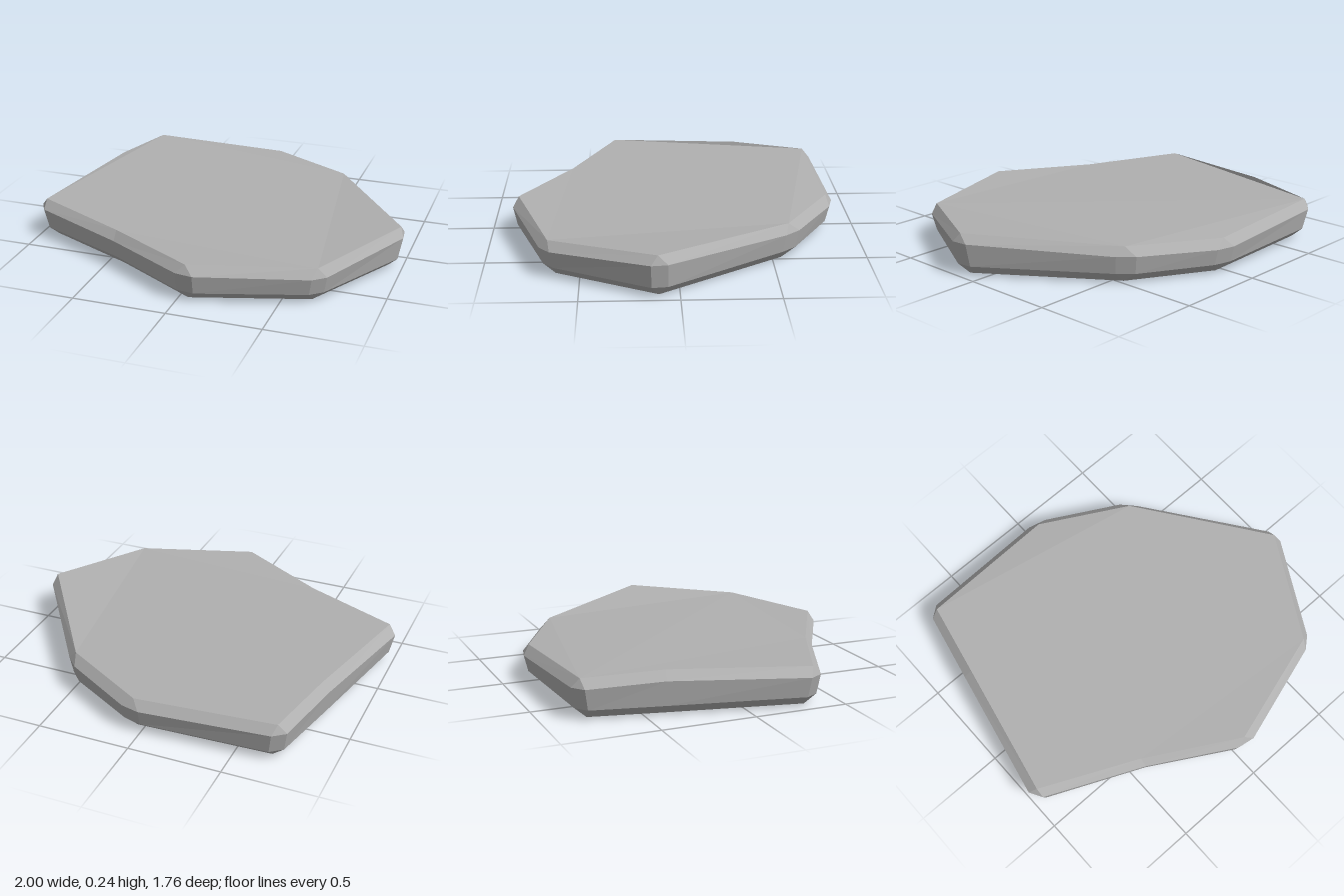
import * as THREE from 'three';

// Each corner: top point (x, y, z), then one or two points (x, z) of the wider rim
const CORNERS = [
  { top: [-0.72, 0.215, -0.81], rim: [[-0.765, -0.80], [-0.70, -0.85]] },
  { top: [0.04, 0.19, -0.84], rim: [[0.0, -0.88], [0.10, -0.855]] },
  { top: [0.50, 0.20, -0.58], rim: [[0.48, -0.64], [0.55, -0.565]] },
  { top: [0.98, 0.228, 0.11], rim: [[0.99, 0.06], [1.0, 0.145]] },
  { top: [0.68, 0.195, 0.66], rim: [[0.725, 0.65], [0.66, 0.705]] },
  { top: [0.05, 0.205, 0.85], rim: [[0.095, 0.88], [0.0, 0.865]] },
  { top: [-0.44, 0.20, 0.57], rim: [[-0.44, 0.61]] },
  { top: [-0.96, 0.21, 0.33], rim: [[-0.96, 0.375], [-1.0, 0.305]] },
  { top: [-0.81, 0.236, -0.40], rim: [[-0.85, -0.41]] },
];
const RIM_DROP = 0.048, FOOT_Y = 0.055, FOOT_SCALE = 0.975, BASE_SCALE = 0.945;

function createSlabGeometry() {
  const positions = [];
  const tri = (a, b, c) => {
    const area = new THREE.Triangle(a, b, c).getArea();
    if (area > 1e-7) for (const p of [a, b, c]) positions.push(p.x, p.y, p.z);
  };

  // Four rings with matching counts; top and base repeat their point at chamfered corners
  const rings = [[], [], [], []];
  for (const { top: [x, y, z], rim } of CORNERS) {
    for (const [rx, rz] of rim) {
      rings[0].push(new THREE.Vector3(x, y, z));
      rings[1].push(new THREE.Vector3(rx, y - RIM_DROP, rz));
      rings[2].push(new THREE.Vector3(rx * FOOT_SCALE, FOOT_Y, rz * FOOT_SCALE));
      rings[3].push(new THREE.Vector3(x * BASE_SCALE, 0, z * BASE_SCALE));
    }
  }

  // Bevelled sides
  const n = rings[0].length;
  for (let r = 0; r < 3; r++) {
    for (let i = 0; i < n; i++) {
      const j = (i + 1) % n;
      const [a, b] = [rings[r][i], rings[r][j]];
      const [c, d] = [rings[r + 1][j], rings[r + 1][i]];
      tri(a, b, c);
      tri(a, c, d);
    }
  }

  // Top and base faces
  const cap = (points, up) => {
    const outline = points.map((p) => new THREE.Vector2(p.x, p.z));
    for (const f of THREE.ShapeUtils.triangulateShape(outline, [])) {
      const [a, b, c] = f.map((k) => points[k]);
      const ny = (b.z - a.z) * (c.x - a.x) - (b.x - a.x) * (c.z - a.z);
      if (ny > 0 === up) tri(a, b, c);
      else tri(a, c, b);
    }
  };
  cap(CORNERS.map(({ top }) => new THREE.Vector3(...top)), true);
  cap(CORNERS.map(({ top: [x, , z] }) => new THREE.Vector3(x * BASE_SCALE, 0, z * BASE_SCALE)), false);

  const geometry = new THREE.BufferGeometry();
  geometry.setAttribute('position', new THREE.Float32BufferAttribute(positions, 3));
  geometry.computeVertexNormals(); // unshared vertices give flat facets
  return geometry;
}

export function createModel() {
  const stone = new THREE.MeshStandardMaterial({ color: 0xb0b0b0 });
  stone.name = 'stone grey';
  const slab = new THREE.Mesh(createSlabGeometry(), stone);
  slab.name = 'stoneSlab';
  const group = new THREE.Group();
  group.name = 'flatStone';
  group.add(slab);
  return group;
}
